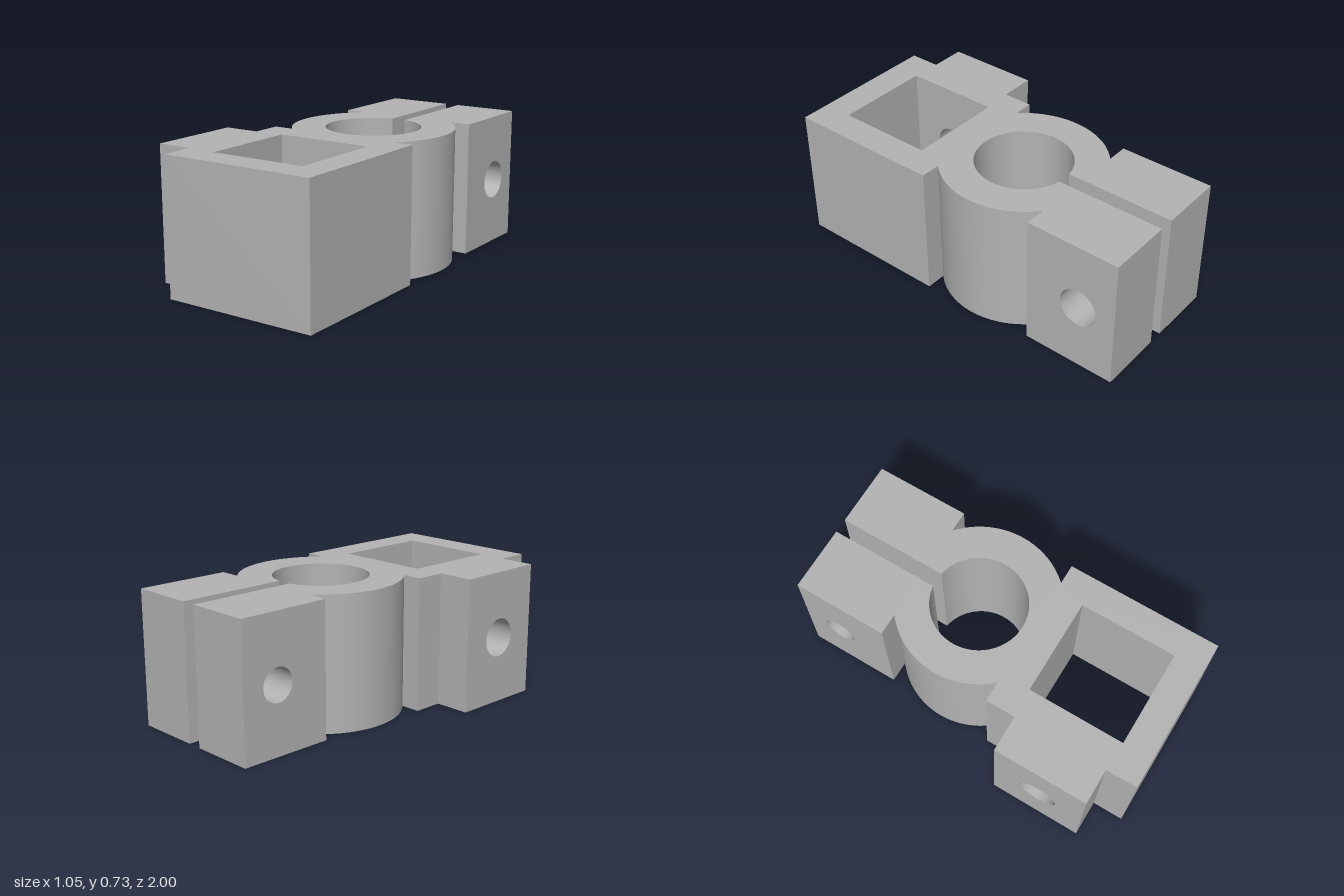
import * as THREE from 'three';
import { toCreasedNormals } from 'three/addons/utils/BufferGeometryUtils.js';

const HEIGHT = 0.725;
const MID = HEIGHT / 2;

export function createModel() {
  const group = new THREE.Group();
  const grey = new THREE.MeshStandardMaterial({ color: 0xb3b3b3 });

  function extrude(shape, depth) {
    return new THREE.ExtrudeGeometry(shape, { depth, bevelEnabled: false, curveSegments: 48 });
  }
  function add(name, geometry) {
    const mesh = new THREE.Mesh(toCreasedNormals(geometry, 0.5), grey);
    mesh.name = name;
    group.add(mesh);
  }

  // Block spanning x0..x1 and z0..z1, bored through along x
  function boredBlock(name, x0, x1, z0, z1, holeZ, radius) {
    const s = new THREE.Shape();
    s.moveTo(-z1, 0);
    s.lineTo(-z0, 0);
    s.lineTo(-z0, HEIGHT);
    s.lineTo(-z1, HEIGHT);
    s.closePath();
    const hole = new THREE.Path();
    hole.absarc(-holeZ, MID, radius, 0, Math.PI * 2, true);
    s.holes.push(hole);
    const geometry = extrude(s, x1 - x0);
    geometry.rotateY(Math.PI / 2);
    geometry.translate(x0, 0, 0);
    add(name, geometry);
  }

  // Split ring joined to three walls of the square socket; shape y is -z
  const cx = 0.09, cy = 0.15, outer = 0.435, bore = 0.255, gap = 0.04;
  const jawY = 0.485, blockY = -0.15;
  const top = Math.asin((jawY - cy) / outer);
  const low = Math.asin((blockY - cy) / outer);
  const slot = Math.acos(gap / bore);
  const slotY = cy + Math.sin(slot) * bore;
  const body = new THREE.Shape();
  body.moveTo(cx + gap, slotY);
  body.lineTo(cx + gap, jawY);
  body.absarc(cx, cy, outer, top, low, true);
  for (const [x, y] of [
    [0.515, blockY], [0.515, -1], [-0.335, -1], [-0.335, -0.835],
    [0.355, -0.835], [0.355, -0.305], [-0.335, -0.305], [-0.335, blockY],
  ]) body.lineTo(x, y);
  body.absarc(cx, cy, outer, Math.PI - low, Math.PI - top, true);
  body.lineTo(cx - gap, jawY);
  body.lineTo(cx - gap, slotY);
  body.absarc(cx, cy, bore, Math.PI - slot, Math.PI * 2 + slot, false);
  const bodyGeometry = extrude(body, HEIGHT);
  bodyGeometry.rotateX(-Math.PI / 2);
  add('ringAndSocket', bodyGeometry);

  // Clamp jaws with bolt holes, the left one wider
  boredBlock('rightClampJaw', -0.305, cx - gap, -1, -jawY, -0.79, 0.09);
  boredBlock('leftClampJaw', cx + gap, 0.485, -1, -jawY, -0.79, 0.105);

  // Fourth socket wall and its boss, bored for a set screw
  boredBlock('socketSideWall', -0.335, -0.175, 0.305, 0.835, 0.573, 0.105);
  boredBlock('setScrewBoss', -0.53, -0.335, 0.315, 0.83, 0.573, 0.105);

  return group;
}
